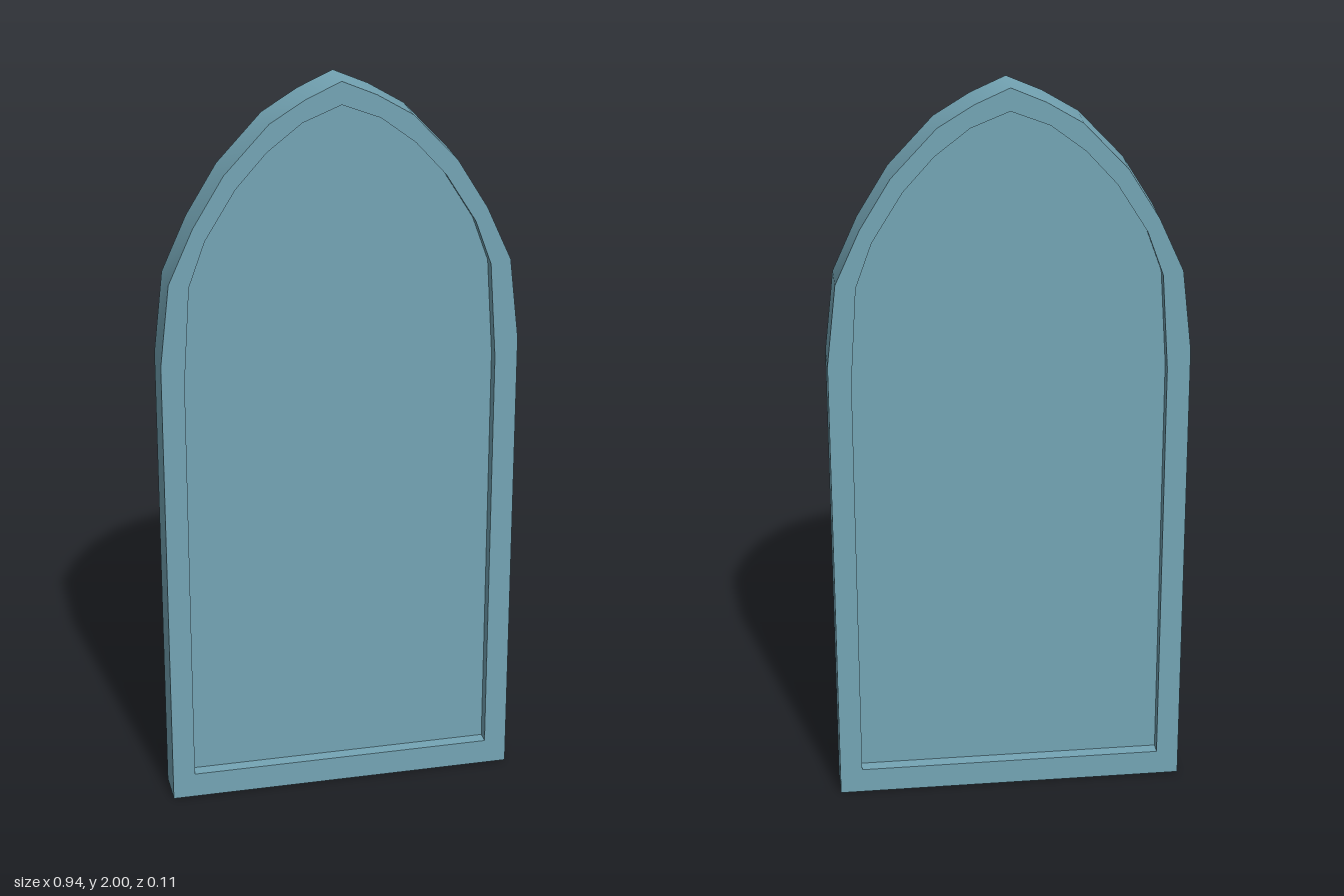
import * as THREE from 'three';
import { toCreasedNormals } from 'three/addons/utils/BufferGeometryUtils.js';

// Right half of each pointed arch, from the sill up to the apex
const OUTER = [[0.47, 0], [0.47, 1.28], [0.445, 1.5], [0.38, 1.645], [0.3, 1.777], [0.183, 1.903], [0.09, 1.96], [0, 2]];
const INNER = [[0.41, 0.07], [0.41, 1.23], [0.393, 1.49], [0.35, 1.61], [0.27, 1.74], [0.19, 1.83], [0.1, 1.9], [0, 1.94]];

// Mirror a half profile into a closed outline
function archPoints(half) {
  const left = half.slice(0, -1).reverse().map(([x, y]) => [-x, y]);
  return [...half, ...left].map(([x, y]) => new THREE.Vector2(x, y));
}

// Extrude a shape centred on z = 0, smooth along the arch and sharp at the rims
function slab(name, shape, depth, material) {
  const geometry = new THREE.ExtrudeGeometry(shape, { depth, bevelEnabled: false });
  geometry.translate(0, 0, -depth / 2);
  const mesh = new THREE.Mesh(toCreasedNormals(geometry, 0.9), material);
  mesh.name = name;
  return mesh;
}

export function createModel() {
  const group = new THREE.Group();
  group.name = 'archedWindow';
  const material = new THREE.MeshStandardMaterial({ color: 0x74a5b5 });

  // Raised border around the opening
  const frame = new THREE.Shape(archPoints(OUTER));
  frame.holes.push(new THREE.Path(archPoints(INNER)));
  group.add(slab('frame', frame, 0.106, material));

  // Flat panel, recessed on both faces
  group.add(slab('panel', new THREE.Shape(archPoints(INNER)), 0.038, material));

  return group;
}
